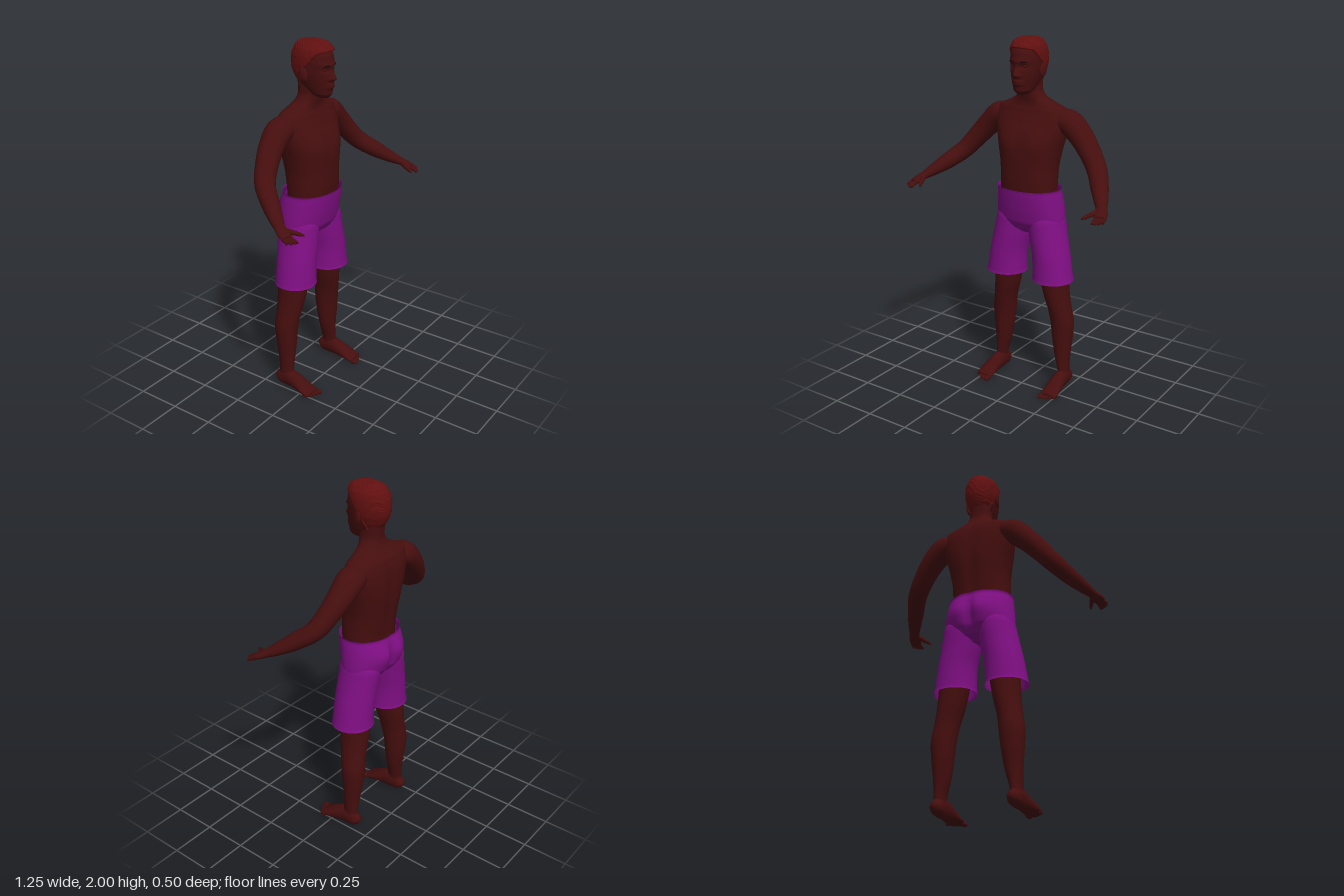
import * as THREE from 'three';

const mat = (name, color, side = THREE.FrontSide) => {
  const m = new THREE.MeshStandardMaterial({ color, side });
  m.name = name;
  return m;
};
const gauss = (d, s) => Math.exp(-(d * d) / (2 * s * s));

// Smooth skin over elliptical sections [x, y, z, halfWidth, halfDepth].
// level: rings stay horizontal (sections listed upward); otherwise they follow the path.
function loft(sections, { side = 1, level = false, rings = 40, n = 32, pow = 1, caps = [true, true], warp } = {}) {
  const path = new THREE.CatmullRomCurve3(sections.map(s => new THREE.Vector3(s[0] * side, s[1], s[2])));
  const size = new THREE.CatmullRomCurve3(sections.map(s => new THREE.Vector3(s[3], s[4], 0)));
  const ref = level ? new THREE.Vector3(0, 0, -1) : new THREE.Vector3(0, 1, 0);
  const pos = [], idx = [];
  const bend = a => Math.sign(a) * Math.abs(a) ** pow;
  for (let i = 0; i <= rings; i++) {
    const c = path.getPoint(i / rings), r = size.getPoint(i / rings);
    const T = level ? new THREE.Vector3(0, 1, 0) : path.getTangent(i / rings);
    const U = ref.clone().cross(T).normalize(), V = T.clone().cross(U);
    for (let j = 0; j < n; j++) {
      const a = (j / n) * Math.PI * 2;
      const p = c.clone().addScaledVector(U, r.x * bend(Math.cos(a))).addScaledVector(V, r.y * bend(Math.sin(a)));
      if (warp) warp(p, c);
      pos.push(p.x, p.y, p.z);
      if (i < rings) {
        const k = i * n + j, l = i * n + (j + 1) % n;
        idx.push(k, l, k + n, l, l + n, k + n);
      }
    }
  }
  [0, 1].forEach(end => {
    if (!caps[end]) return;
    const c = path.getPoint(end), base = end * rings * n, mid = pos.length / 3;
    pos.push(c.x, c.y, c.z);
    for (let j = 0; j < n; j++) {
      const k = base + j, l = base + (j + 1) % n;
      end ? idx.push(k, l, mid) : idx.push(l, k, mid);
    }
  });
  const g = new THREE.BufferGeometry();
  g.setAttribute('position', new THREE.Float32BufferAttribute(pos, 3));
  g.setIndex(idx);
  g.computeVertexNormals();
  return g;
}

// Central section from [y, halfWidth, front z, back z]
const mid = rows => rows.map(([y, w, f, b]) => [0, y, (f + b) / 2, w, (f - b) / 2]);

export function createModel() {
  const model = new THREE.Group();
  model.name = 'standingFigure';
  const skin = mat('skin', 0x460e0e);
  const hairMat = mat('hair', 0x621010);
  const cloth = mat('shortsCloth', 0x800f84, THREE.DoubleSide);
  const dark = mat('brow', 0x1c0606);
  const add = (name, geo, m) => {
    const mesh = new THREE.Mesh(geo, m);
    mesh.name = name;
    model.add(mesh);
    return mesh;
  };
  const ball = (name, m, p, s) => {
    const b = add(name, new THREE.SphereGeometry(1, 20, 14), m);
    b.position.set(...p);
    b.scale.set(...s);
    return b;
  };

  // Torso and neck, with soft chest and spine groove
  add('torso', loft(mid([
    [1.08, .16, .03, -.19], [1.18, .164, .043, -.19], [1.3, .166, .045, -.205], [1.4, .183, .04, -.22],
    [1.5, .21, .015, -.222], [1.57, .222, -.012, -.215], [1.62, .205, -.03, -.2], [1.65, .14, -.038, -.18],
    [1.68, .085, -.035, -.16], [1.72, .063, -.028, -.15], [1.79, .06, -.02, -.155]]),
  { level: true, rings: 70, n: 56, pow: .88, warp: (p, c) => {
    if (p.z > c.z) p.z += .012 * gauss(Math.abs(p.x) - .085, .05) * gauss(p.y - 1.45, .05);
    else p.z += .012 * gauss(p.x, .02) * gauss(p.y - 1.38, .16);
  } }), skin);

  // Head with modelled brow, nose, lips and eye sockets
  const headRows = [
    [1.702, .025, .025, -.04], [1.722, .05, .042, -.09], [1.76, .066, .047, -.14], [1.8, .078, .05, -.165],
    [1.84, .085, .05, -.18], [1.88, .087, .049, -.184], [1.92, .085, .043, -.18], [1.96, .07, .018, -.163],
    [1.985, .04, -.025, -.125]];
  add('head', loft(mid(headRows), { level: true, rings: 80, n: 80, warp: (p, c) => {
    if (p.z < c.z + .03) return;
    const bridge = p.y > 1.807 ? gauss(p.y - 1.807, .024) : gauss(p.y - 1.807, .009);
    p.z += .026 * gauss(p.x, .008 + .006 * gauss(p.y - 1.803, .012)) * bridge;
    p.z += .009 * gauss(p.x, .022) * (gauss(p.y - 1.775, .006) + gauss(p.y - 1.76, .006));
    p.z += .005 * gauss(p.x, .05) * gauss(p.y - 1.878, .01);
    p.z -= .009 * gauss(Math.abs(p.x) - .034, .014) * gauss(p.y - 1.852, .01);
  } }), skin);

  // Short curly hair: a bumpy shell pulled inside the skull in front of the hairline
  const hairline = [[1.74, -.12], [1.8, -.1], [1.86, -.07], [1.9, -.03], [1.935, .0], [1.955, .08], [2.1, .08]];
  const limit = y => {
    const k = Math.max(1, hairline.findIndex(h => h[0] > y));
    const [a, b] = [hairline[k - 1], hairline[k]];
    return a[1] + (b[1] - a[1]) * (y - a[0]) / (b[0] - a[0]);
  };
  add('hair', loft(mid([
    [1.76, .058, .03, -.142], [1.8, .078, .05, -.172], [1.84, .09, .05, -.188], [1.88, .094, .05, -.192],
    [1.92, .093, .052, -.188], [1.955, .084, .047, -.176], [1.98, .064, .025, -.155], [1.995, .03, -.02, -.11]]),
  { level: true, rings: 70, n: 80, warp: (p, c) => {
    const bump = Math.sin(p.x * 310 + p.y * 170) * Math.sin(p.y * 280 - p.z * 120) * Math.sin(p.z * 330 + p.x * 90);
    const k = 1 + .035 * bump;
    p.x *= k;
    p.z = Math.min(c.z + (p.z - c.z) * k, limit(p.y));
    if (p.y > 1.97) p.y += .005 * bump;
  } }), hairMat);

  // Hips of the shorts, with rounded seat and centre cleft
  add('shortsHips', loft(mid([
    [.925, .06, -.04, -.14], [.955, .17, .0, -.19], [1, .202, .028, -.222], [1.08, .196, .046, -.234],
    [1.14, .188, .056, -.226], [1.175, .182, .06, -.217], [1.187, .185, .062, -.219]]),
  { level: true, rings: 50, n: 64, pow: .92, caps: [true, false], warp: (p, c) => {
    if (p.z > c.z) return;
    p.z -= .018 * gauss(Math.abs(p.x) - .07, .045) * gauss(p.y - 1.08, .05);
    p.z += .022 * gauss(p.x, .016) * gauss(p.y - 1.06, .07);
  } }), cloth);

  for (const side of [1, -1]) {
    const tag = side > 0 ? 'left' : 'right';
    const limb = (name, rows, o = {}) => add(tag + name, loft(rows, { side, ...o }), o.m || skin);

    // Shorts leg, open at the hem
    limb('ShortsLeg', [
      [.153, .665, -.085, .118, .116], [.152, .68, -.085, .115, .113], [.14, .8, -.088, .106, .113],
      [.12, .9, -.092, .105, .115], [.103, 1, -.098, .102, .118], [.1, 1.06, -.098, .085, .1]],
    { level: true, caps: [false, true], m: cloth });

    // Leg
    limb('Leg', [
      [.215, .04, -.115, .032, .044], [.214, .1, -.115, .031, .044], [.204, .2, -.118, .046, .049],
      [.2, .3, -.122, .059, .06], [.197, .4, -.122, .067, .068], [.183, .49, -.113, .066, .074],
      [.165, .58, -.106, .072, .083], [.15, .7, -.1, .08, .09], [.13, .9, -.1, .085, .095]],
    { level: true, rings: 50 });

    // Foot and toes
    limb('Foot', [
      [.215, .035, -.175, .012, .015], [.215, .045, -.16, .032, .038], [.215, .06, -.105, .037, .055],
      [.217, .052, -.045, .041, .046], [.221, .034, .015, .048, .03], [.222, .022, .055, .05, .018],
      [.222, .018, .073, .045, .013]]);
    for (let i = 0; i < 5; i++) {
      const r = i ? .0095 - i * .0004 : .014;
      ball(tag + 'Toe', skin, [side * (.186 + i * .0185 + (i ? .004 : 0)), .014, .085 - i * i * .0022], [r, r * .95, .027 - i * .002]);
    }

    // Arm and palm
    limb('Arm', [
      [.13, 1.565, -.115, .06, .05], [.22, 1.553, -.125, .074, .07], [.29, 1.495, -.122, .068, .064],
      [.36, 1.418, -.102, .06, .057], [.425, 1.34, -.065, .054, .051], [.49, 1.275, .02, .047, .045],
      [.545, 1.225, .1, .035, .03], [.567, 1.206, .135, .029, .022], [.583, 1.19, .17, .034, .018],
      [.592, 1.177, .2, .031, .013]], { rings: 60 });

    // Fingers and thumb
    for (let i = 0; i < 4; i++) {
      const x = .57 + i * .0145, z = .249 - i * i * .0035;
      limb('Finger', [[x, 1.182 - i * .002, .185, .009, .009], [x + .005, 1.172 - i * .002, .215, .0085, .009],
        [x + .004, 1.161, z - .006, .007, .007], [x + .003, 1.158, z, .003, .003]], { rings: 12, n: 12 });
    }
    limb('Thumb', [[.568, 1.202, .145, .014, .015], [.545, 1.19, .185, .013, .013],
      [.524, 1.179, .225, .009, .01], [.514, 1.174, .244, .004, .004]], { rings: 14, n: 14 });

    // Ear, eye and eyebrow
    ball(tag + 'Ear', skin, [side * .091, 1.828, -.065], [.011, .036, .023]).rotation.set(-.2, side * -.3, 0);
    ball(tag + 'Eye', skin, [side * .034, 1.852, .024], [.014, .009, .012]);
    const brow = ball(tag + 'Eyebrow', dark, [side * .036, 1.876, .042], [.02, .0035, .004]);
    brow.rotation.y = side * .4;
  }
  return model;
}
